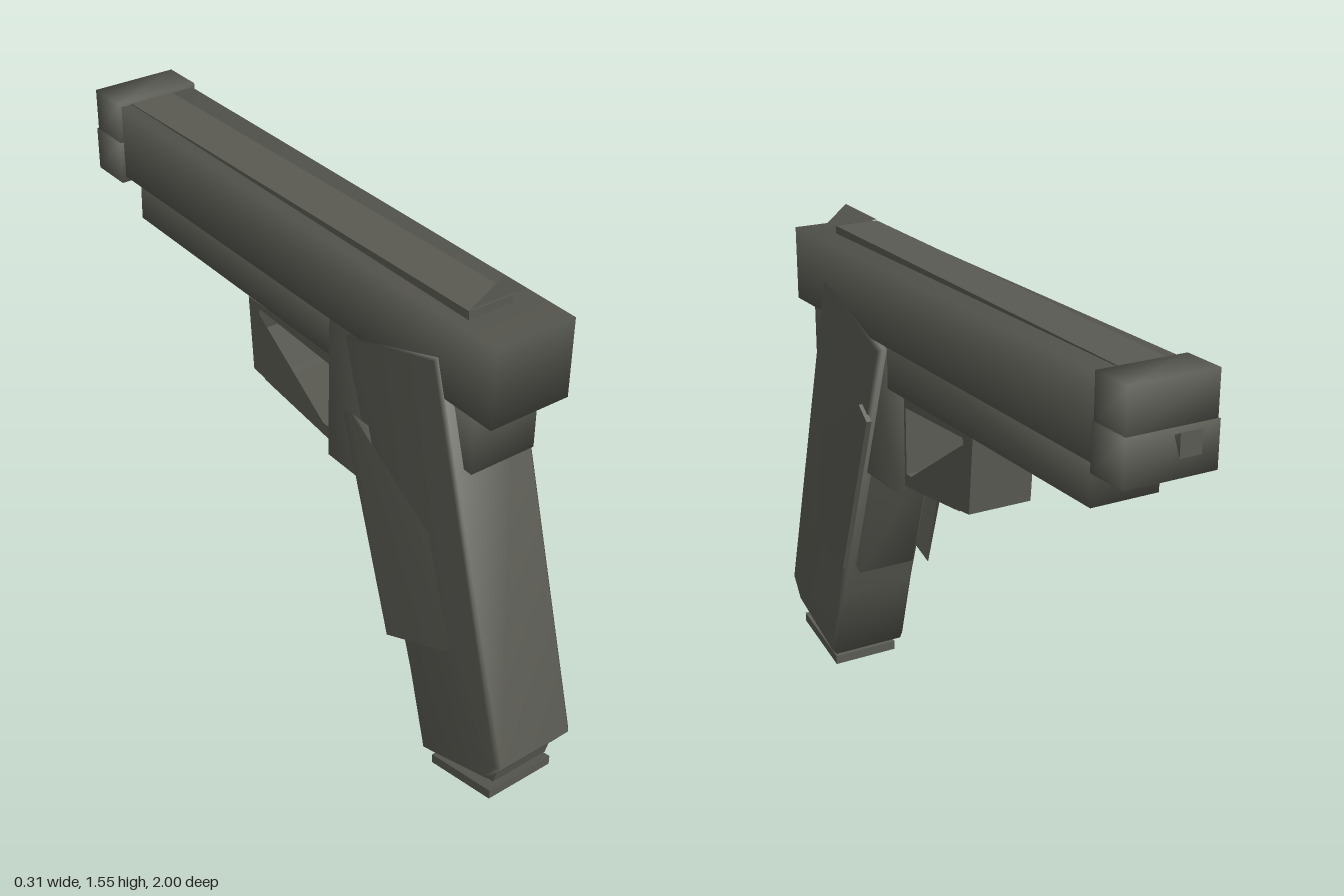
import * as THREE from 'three';
import { mergeVertices } from 'three/addons/utils/BufferGeometryUtils.js';

const gunmetal = new THREE.MeshStandardMaterial({ color: 0x5a5a53, side: THREE.DoubleSide });
gunmetal.name = 'gunmetal';

// Share corner normals so that blocks shade softly
function soften(geo) {
  geo.deleteAttribute('normal');
  geo.deleteAttribute('uv');
  const merged = mergeVertices(geo, 1e-4);
  merged.computeVertexNormals();
  return merged;
}

// Side outline given as [z, y] points, extruded from x0 to x1
function slab(points, x0, x1, { hole, soft = false, bevel = 0 } = {}) {
  const toVec = ([z, y]) => new THREE.Vector2(z, y);
  const shape = new THREE.Shape(points.map(toVec));
  if (hole) shape.holes.push(new THREE.Path(hole.map(toVec)));
  const geo = new THREE.ExtrudeGeometry(shape, {
    depth: x1 - x0 - 2 * bevel,
    bevelEnabled: bevel > 0,
    bevelSize: bevel, bevelOffset: -bevel, bevelThickness: bevel, bevelSegments: 1,
  });
  geo.rotateY(-Math.PI / 2).translate(x1 - bevel, 0, 0);
  return soft ? soften(geo) : geo;
}

// Softly shaded block from its limits
function block(x0, x1, y0, y1, z0, z1) {
  const geo = new THREE.BoxGeometry(x1 - x0, y1 - y0, z1 - z0);
  geo.translate((x0 + x1) / 2, (y0 + y1) / 2, (z0 + z1) / 2);
  return soften(geo);
}

// Single flat polygon
function sheet(corners) {
  const geo = new THREE.BufferGeometry();
  geo.setAttribute('position', new THREE.Float32BufferAttribute(corners.flat(), 3));
  const index = [];
  for (let i = 1; i < corners.length - 1; i++) index.push(0, i, i + 1);
  geo.setIndex(index);
  geo.computeVertexNormals();
  return geo;
}

export function createModel() {
  const group = new THREE.Group();
  const add = (name, geo) => {
    const mesh = new THREE.Mesh(geo, gunmetal);
    mesh.name = name;
    group.add(mesh);
  };

  // Slide, with a slim sloping rib on top
  add('slide', block(-0.115, 0.133, 1.238, 1.463, -0.92, 0.868));
  add('topRib', slab([[0.73, 1.45], [-0.88, 1.45], [-0.88, 1.464], [0.73, 1.487]], -0.08, 0.06));

  // Muzzle collar and the block below it
  add('muzzleCollar', block(-0.125, 0.14, 1.34, 1.475, -0.93, -0.8));
  add('muzzleBlock', block(-0.128, 0.146, 1.22, 1.35, -0.935, -0.8));

  // Front sight: a small pyramid flaring forward
  const sight = new THREE.ConeGeometry(0.045, 0.065, 4).rotateY(Math.PI / 4);
  add('frontSight', sight.rotateX(Math.PI / 2).translate(0.005, 1.333, -0.967));

  // Rear sight: thin upright triangle
  add('rearSight', sheet([[-0.08, 1.49, 0.73], [0.1, 1.49, 0.73], [0.025, 1.55, 0.73]]));

  // Frame under the barrel and behind the grip
  add('frameRail', slab([[0.3, 1.1], [-0.76, 1.108], [-0.755, 1.265], [0.3, 1.265]],
    -0.09, 0.115, { soft: true }));
  add('frameRear', block(-0.09, 0.115, 1.05, 1.24, 0.5, 0.785));

  // Trigger body and guard
  add('triggerBody', slab([[0.5, 0.785], [0.21, 0.785], [0.21, 1.25], [0.5, 1.25]],
    -0.1, 0.115, { soft: true }));
  add('triggerGuard', slab(
    [[0.24, 0.82], [-0.165, 0.87], [-0.185, 1.1], [0.24, 1.11]], -0.09, 0.11,
    { hole: [[0.2, 1.07], [-0.13, 1.085], [-0.152, 1.0], [-0.11, 0.86], [0.2, 0.865]] }));

  // Slanted grip
  add('grip', slab(
    [[0.67, 1.345], [1.0, 0.22], [0.95, 0.145], [0.69, 0.05], [0.615, 0.31], [0.3, 1.22]],
    -0.124, 0.14, { bevel: 0.012, soft: true }));
  add('fingerRest', slab([[0.41, 0.83], [0.34, 1.02], [0.43, 1.0], [0.7, 0.47], [0.55, 0.4]],
    -0.09, 0.1, { soft: true }));

  // Side panels on the grip, the right one tilted outward
  add('rightPanel', sheet([[-0.155, 1.04, 0.385], [-0.15, 1.02, 0.34], [-0.145, 0.385, 0.545],
    [-0.13, 0.49, 0.79], [-0.13, 0.82, 0.68]]));
  add('rightPanelEdge', sheet([[-0.155, 1.04, 0.385], [-0.145, 0.385, 0.545],
    [-0.12, 0.45, 0.6], [-0.12, 1.0, 0.42]]));
  add('leftPanel', slab([[0.42, 1.02], [0.37, 0.98], [0.57, 0.42], [0.69, 0.44], [0.74, 0.6],
    [0.68, 0.85]], 0.135, 0.152));

  // Stacked plates under the grip
  add('magazinePlate', slab([[0.95, 0.145], [0.94, 0.105], [0.72, 0.055], [0.72, 0.1]],
    -0.08, 0.11));
  add('basePlate', slab([[0.95, 0.09], [0.95, 0.06], [0.71, 0], [0.71, 0.03]], -0.1, 0.12));

  return group;
}
